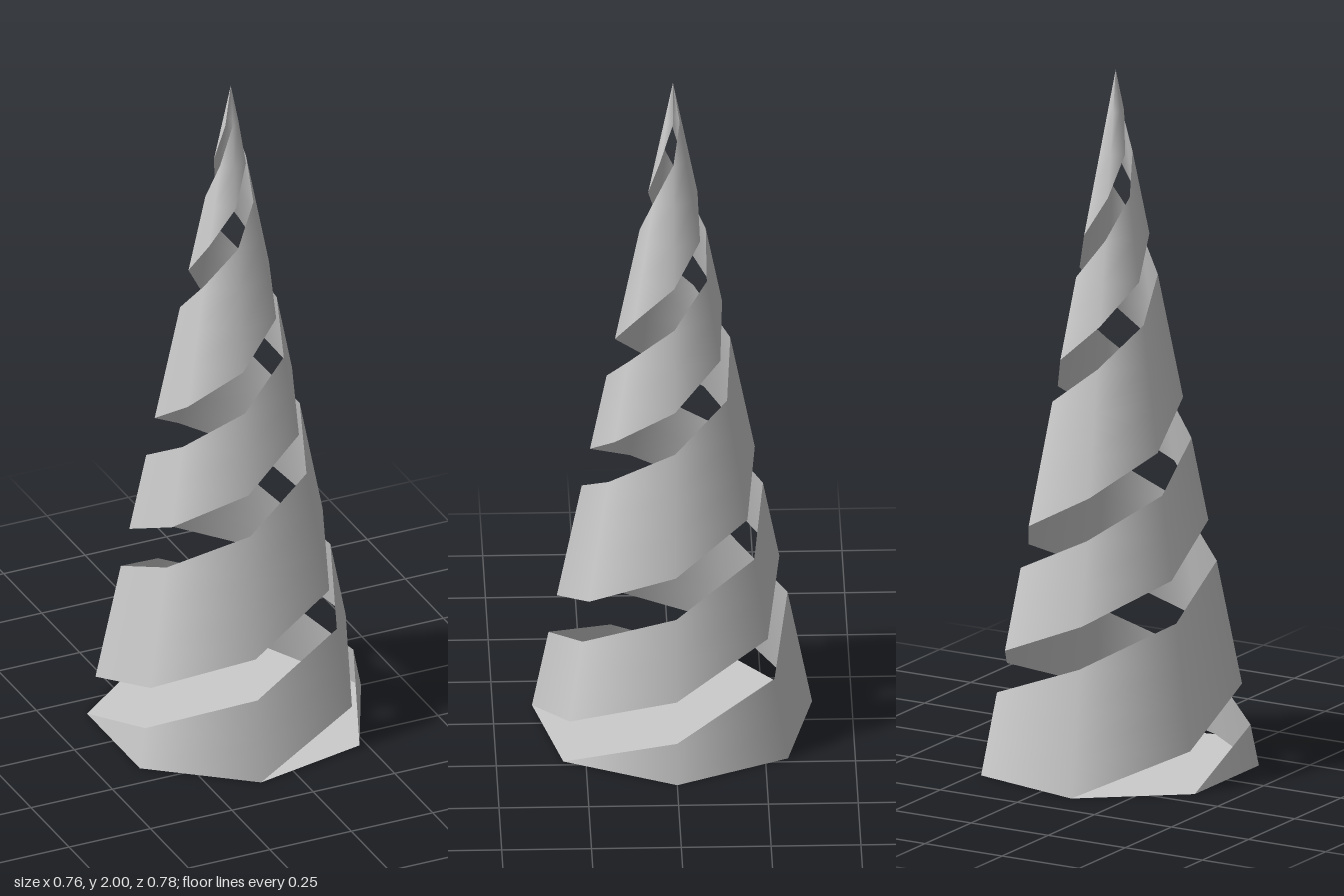
import * as THREE from 'three';

const SIDES = 7, ROWS = 17, RADIUS = 0.4, HEIGHT = 2;

// One helical band of a seven-sided cone. The cone grid is sliced along its
// diagonals into seven lanes; the band covers the listed lanes.
function helicalBand(lanes) {
  const positions = [], normals = [], index = [];
  for (let j = 0; j <= ROWS; j++) {
    const t = j / ROWS, r = RADIUS * (1 - t);
    for (let k = 0; k < SIDES; k++) {
      const a = (k / SIDES) * Math.PI * 2;
      positions.push(r * Math.cos(a), t * HEIGHT, -r * Math.sin(a));
      const n = new THREE.Vector3(Math.cos(a), RADIUS / HEIGHT, -Math.sin(a)).normalize();
      normals.push(n.x, n.y, n.z);
    }
  }
  const vertex = (k, j) => j * SIDES + (k % SIDES);
  const inBand = (lane) => lanes.includes((lane + 2 * SIDES) % SIDES);
  for (let j = 0; j < ROWS; j++) {
    for (let k = 0; k < SIDES; k++) {
      const a = vertex(k, j), b = vertex(k + 1, j);
      const c = vertex(k + 1, j + 1), d = vertex(k, j + 1);
      if (inBand(j - k - 1)) index.push(a, b, c);                 // below the diagonal
      if (inBand(j - k) && j < ROWS - 1) index.push(a, c, d);     // above the diagonal
    }
  }
  const geometry = new THREE.BufferGeometry();
  geometry.setAttribute('position', new THREE.Float32BufferAttribute(positions, 3));
  geometry.setAttribute('normal', new THREE.Float32BufferAttribute(normals, 3));
  geometry.setIndex(index);
  return geometry;
}

export function createModel() {
  const group = new THREE.Group();
  group.name = 'spiralCone';
  const material = new THREE.MeshStandardMaterial({ color: 0xcccccc, side: THREE.DoubleSide });
  // the odd-sided cone is shifted so its extents are centred on x
  const shift = -RADIUS * (1 - Math.cos(Math.PI / SIDES)) / 2;

  const add = (name, geometry) => {
    const mesh = new THREE.Mesh(geometry, material);
    mesh.name = name;
    mesh.position.x = shift;
    group.add(mesh);
  };

  // Two intertwined bands; lanes 1 and 4 are the open gaps between them
  add('narrowSpiralBand', helicalBand([2, 3]));
  add('wideSpiralBand', helicalBand([5, 6, 0]));

  // Flat heptagonal base
  add('base', new THREE.CircleGeometry(RADIUS, SIDES).rotateX(Math.PI / 2));

  return group;
}
